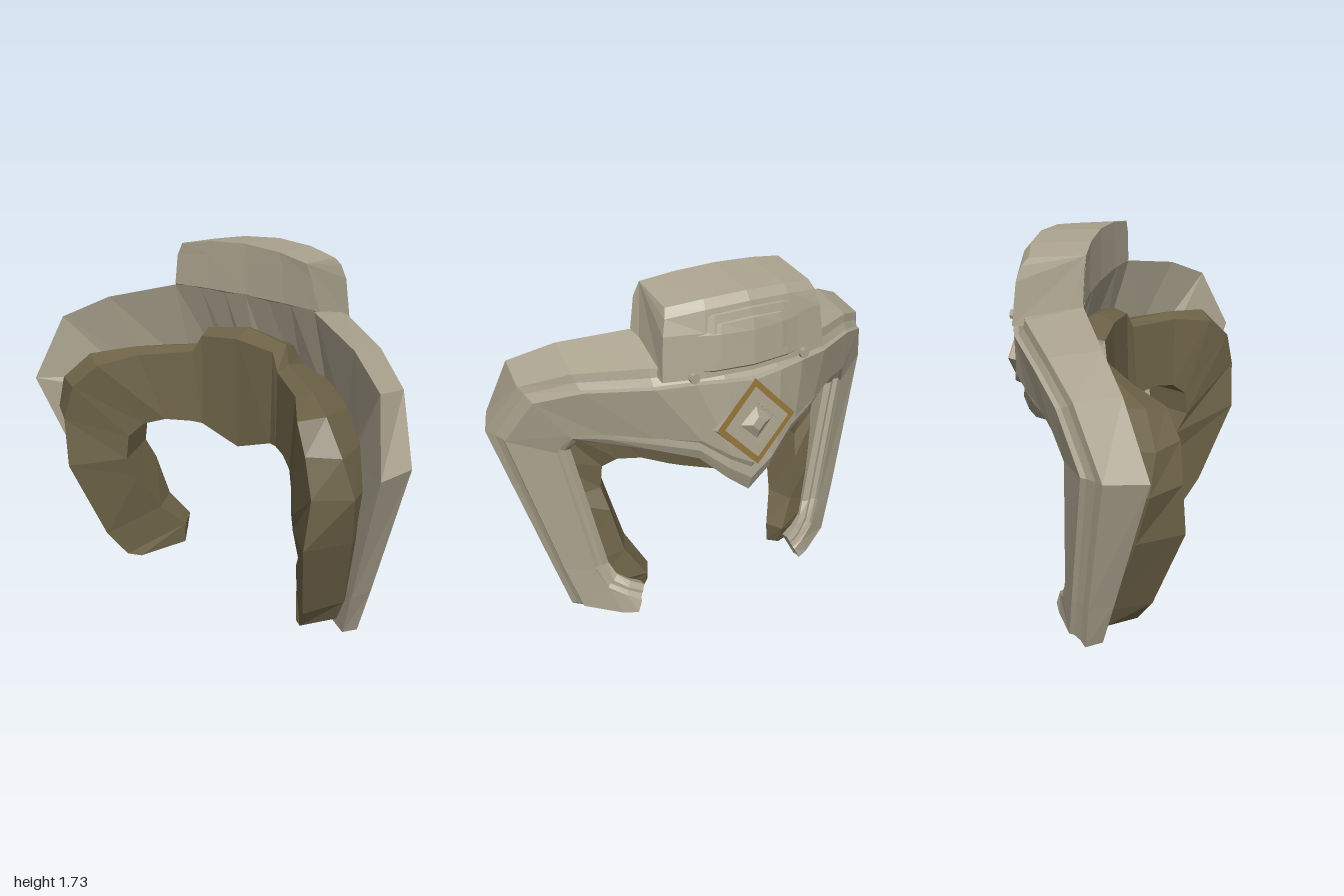
import * as THREE from 'three';

const V = (p) => new THREE.Vector3(...p);
const shift = (p, x, y, z) => new THREE.Vector3(p.x + x, p.y + y, p.z + z);

// Skin a row of closed rings, with flat caps at both ends.
function loft(rings) {
  const pos = [];
  const tri = (a, b, c) => { for (const p of [a, b, c]) pos.push(p.x, p.y, p.z); };
  const n = rings[0].length;
  for (let i = 0; i < rings.length - 1; i++) {
    for (let j = 0; j < n; j++) {
      const k = (j + 1) % n, r = rings[i], s = rings[i + 1];
      tri(r[j], s[j], r[k]);
      tri(s[j], s[k], r[k]);
    }
  }
  const a = rings[0], b = rings[rings.length - 1];
  for (let j = 1; j < n - 1; j++) {
    tri(a[0], a[j], a[j + 1]);
    tri(b[0], b[j + 1], b[j]);
  }
  const g = new THREE.BufferGeometry();
  g.setAttribute('position', new THREE.Float32BufferAttribute(pos, 3));
  g.computeVertexNormals();
  return g;
}

// Stations run from the centre to the +x foot; mirror them to the -x foot.
function mirrored(rings) {
  const other = rings.slice(1).reverse().map((r) => r.map((p) => new THREE.Vector3(-p.x, p.y, p.z)));
  return loft([...other, ...rings]);
}

// Plate section from front rim, outer ridge and inner ridge: adds a back bevel, an inner lip and stepped grooves.
function plateRing(station) {
  const [rim, ridge, inner] = station.map(V);
  const centre = Math.max(0, 1 - inner.x / 0.4);
  const bevel = shift(ridge.clone().lerp(inner, 0.23), 0, 0, -0.05);
  const inward = inner.clone().sub(ridge).setZ(0).setLength(0.075 + 0.1 * centre);
  const edge = shift(inner.clone().add(inward), 0, 0, 0.035 + 0.035 * centre);
  const back = shift(edge, 0, -0.02, 0.075 + 0.035 * centre);
  const mid = new THREE.Vector3();
  [rim, ridge, bevel, inner, edge, back].forEach((p) => mid.addScaledVector(p, 1 / 6));
  const on = (p, q, t, pull) => p.clone().lerp(q, t).lerp(mid, pull);
  return [rim, ridge, on(ridge, bevel, 0.3, 0.1), on(ridge, bevel, 0.75, 0.1), bevel, inner,
    on(inner, edge, 0.15, 0.16), on(inner, edge, 0.5, 0.16), on(inner, edge, 0.6, 0.02), edge, back];
}

// Padding section from outer edge, inner edge and front ridge: the buried back side follows from them.
function padRing(station) {
  const [outer, inner, ridge] = station.map(V);
  const outerBack = shift(outer.clone().lerp(inner, 0.14), 0, 0, -Math.min(0.22, 0.08 + 0.2 * outer.y));
  const innerBack = shift(inner, 0.12 * inner.x, 0.01, -Math.min(0.21, 0.02 + 0.35 * inner.y));
  return [outer, outerBack, innerBack, inner, ridge];
}

// Profile of [half width, y, z] swept along x on a shallow bend
function bent(profile) {
  return loft([-1, -0.55, 0, 0.55, 1].map((f) => profile.map(([w, y, z]) => new THREE.Vector3(
    f * w, y - (y > 1.6 ? 0.035 * f * f : 0), z + f * f * (z < -0.2 ? 0.06 : 0.03)))));
}

export function createModel() {
  const group = new THREE.Group();
  const mat = (name, color) => {
    const m = new THREE.MeshStandardMaterial({ color, flatShading: true });
    m.name = name;
    return m;
  };
  const plateMat = mat('stone grey', 0xaca48f);
  const padMat = mat('olive brown', 0x6e6348);
  const trimMat = mat('bronze trim', 0x92733a);
  const add = (name, geo, material, parent = group) => {
    const m = new THREE.Mesh(geo, material);
    m.name = name;
    parent.add(m);
    return m;
  };

  // Curved outer plate: arch, legs and inward feet
  const plate = [
    [[0, 1.5, -0.06], [0, 1.46, -0.36], [0, 0.95, -0.47]],
    [[0.12, 1.5, -0.06], [0.13, 1.46, -0.355], [0.11, 1.01, -0.455]],
    [[0.25, 1.5, -0.05], [0.26, 1.44, -0.33], [0.23, 1.09, -0.4]],
    [[0.385, 1.49, -0.03], [0.41, 1.42, -0.28], [0.4, 1.09, -0.29]],
    [[0.67, 1.42, 0.13], [0.68, 1.37, -0.09], [0.58, 1.09, -0.16]],
    [[0.86, 1.32, 0.26], [0.87, 1.28, 0.07], [0.71, 1.07, -0.07]],
    [[0.95, 1.02, 0.39], [1, 1.02, 0.22], [0.75, 0.96, -0.01]],
    [[0.76, 0.3, 0.2], [0.805, 0.3, 0.1], [0.63, 0.29, -0.06]],
    [[0.69, 0.04, 0.13], [0.73, 0.03, 0.06], [0.58, 0.17, -0.09]],
    [[0.55, 0.03, 0.03], [0.54, 0.005, -0.06], [0.5, 0.12, -0.13]],
    [[0.47, 0.05, -0.01], [0.47, 0.02, -0.1], [0.44, 0.09, -0.15]],
  ];
  add('outerPlate', mirrored(plate.map(plateRing)), plateMat);

  // Padding on the front of the plate
  const pad = [
    [[0, 1.335, -0.09], [0, 0.755, 0], [0, 1.3, 0]],
    [[0.22, 1.3, -0.07], [0.2, 0.835, 0.02], [0.2, 1.28, 0.01]],
    [[0.25, 1.215, -0.05], [0.25, 0.845, 0.05], [0.24, 1.2, 0.03]],
    [[0.5, 1.21, 0.16], [0.34, 0.86, 0.13], [0.44, 1.19, 0.2]],
    [[0.65, 1.185, 0.3], [0.42, 0.84, 0.2], [0.55, 1.16, 0.36]],
    [[0.77, 1.06, 0.37], [0.47, 0.78, 0.26], [0.64, 1.06, 0.44]],
    [[0.83, 0.89, 0.36], [0.48, 0.66, 0.27], [0.69, 0.89, 0.465]],
    [[0.8, 0.65, 0.3], [0.46, 0.55, 0.22], [0.67, 0.65, 0.48]],
    [[0.71, 0.24, 0.17], [0.42, 0.33, 0.1], [0.59, 0.22, 0.33]],
    [[0.66, 0.11, 0.14], [0.345, 0.2, -0.01], [0.53, 0.08, 0.25]],
    [[0.55, 0.05, 0.13], [0.35, 0.09, -0.01], [0.48, 0.06, 0.2]],
  ];
  add('frontPadding', mirrored(pad.map(padRing)), padMat);

  // Raised block on the crown, with two stepped panels on its back
  add('crownBlock', bent([
    [0.335, 1.73, -0.06], [0.335, 1.705, -0.34], [0.35, 1.67, -0.37], [0.368, 1.57, -0.39],
    [0.385, 1.38, -0.41], [0.385, 1.4, -0.15], [0.385, 1.495, -0.062], [0.365, 1.67, -0.06],
  ]), plateMat);
  add('crownPanelRim', bent([
    [0.3, 1.655, -0.36], [0.29, 1.645, -0.385], [0.3, 1.56, -0.405], [0.31, 1.41, -0.42], [0.32, 1.39, -0.4],
  ]), plateMat);
  add('crownPanel', bent([
    [0.26, 1.62, -0.38], [0.25, 1.61, -0.402], [0.255, 1.56, -0.414], [0.26, 1.45, -0.425], [0.265, 1.44, -0.4],
  ]), plateMat);

  // Small round studs at the panel's lower corners
  for (const side of [-1, 1]) {
    const stud = add('panelStud', new THREE.CylinderGeometry(0.022, 0.022, 0.05, 8).rotateX(Math.PI / 2), plateMat);
    stud.position.set(side * 0.26, 1.39, -0.375);
  }

  // Diamond emblem, tilted with the back face
  const emblem = new THREE.Group();
  emblem.name = 'diamondEmblem';
  emblem.position.set(0, 1.15, -0.449);
  emblem.rotation.x = 0.1;
  emblem.scale.y = 1.07;
  group.add(emblem);
  const diamond = (r) => [[0, -r], [r, 0], [0, r], [-r, 0]].map(([x, y]) => new THREE.Vector2(x, y));
  const frame = (name, outer, inner, z, depth, material) => {
    const shape = new THREE.Shape(diamond(outer));
    shape.holes.push(new THREE.Path(diamond(inner)));
    add(name, new THREE.ExtrudeGeometry(shape, { depth, bevelEnabled: false }), material, emblem).position.z = z;
  };
  const spike = (name, rTop, rBase, h, z) => {
    add(name, new THREE.CylinderGeometry(rTop, rBase, h, 4).rotateX(-Math.PI / 2), plateMat, emblem).position.z = z;
  };
  spike('diamondBase', 0.187, 0.2, 0.07, 0.035);
  frame('diamondTrim', 0.187, 0.152, -0.006, 0.008, trimMat);
  frame('diamondInnerFrame', 0.152, 0.09, -0.01, 0.012, plateMat);
  spike('diamondStud', 0.03, 0.075, 0.026, -0.013);

  return group;
}
